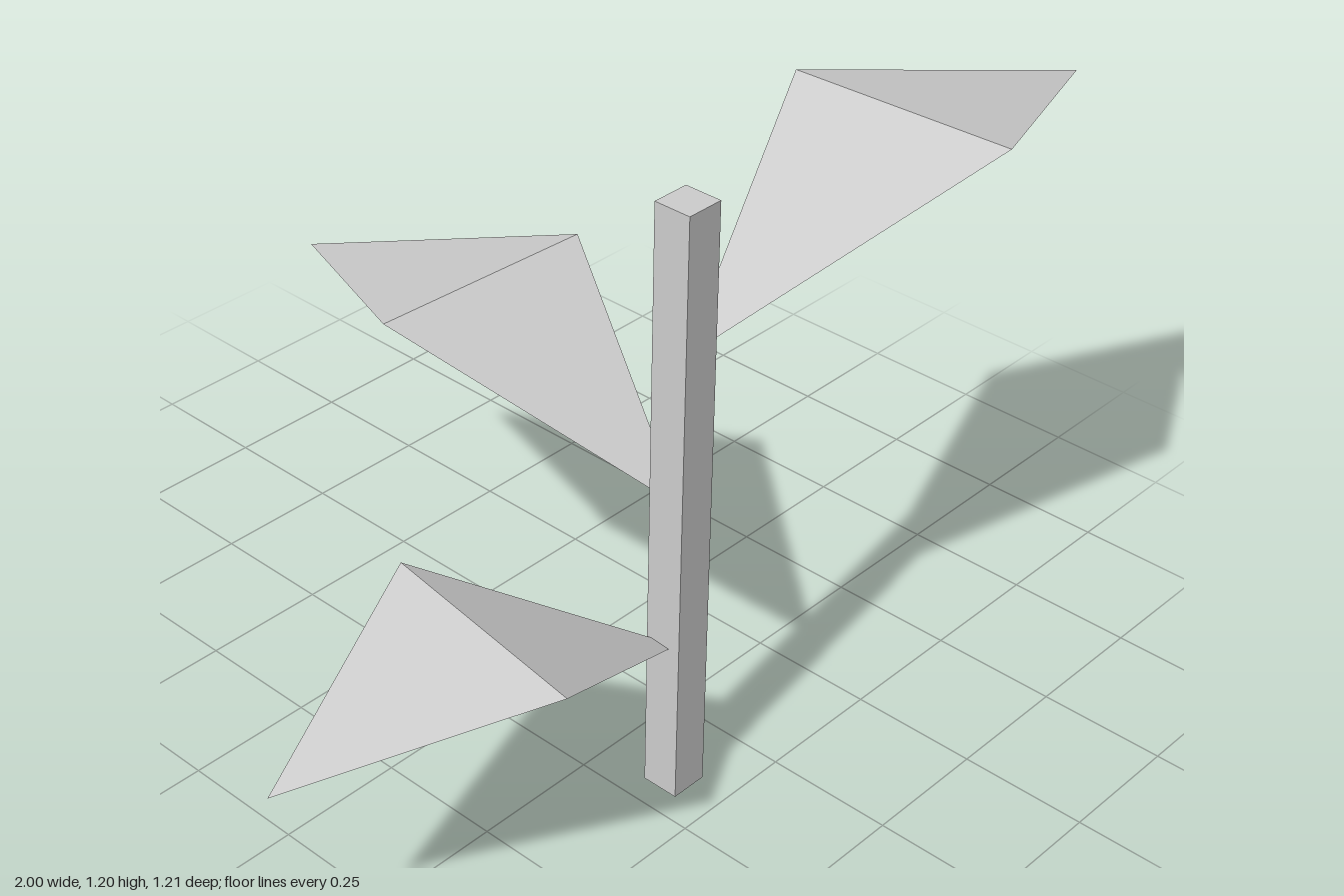
import * as THREE from 'three';

export function createModel() {
  const group = new THREE.Group();
  const plantGrey = new THREE.MeshStandardMaterial({ color: 0xcccccc, flatShading: true, side: THREE.DoubleSide });
  plantGrey.name = 'plantGrey';

  const stemX = -0.162, stemZ = 0.393;

  // Square stem
  const stem = new THREE.Mesh(new THREE.BoxGeometry(0.075, 1.2, 0.075), plantGrey);
  stem.name = 'stem';
  stem.position.set(stemX, 0.6, stemZ);
  group.add(stem);

  // Folded kite leaf: rises from the stem to a wide crease, then droops to its tip
  function addLeaf(name, y, length, degrees) {
    const half = 0.23, rise = 0.24, tipRise = 0.102;
    const geometry = new THREE.BufferGeometry();
    geometry.setAttribute('position', new THREE.Float32BufferAttribute([
      0, 0, 0, length, rise, half, length, rise, -half,
      length, rise, -half, length, rise, half, 2 * length, tipRise, 0,
    ], 3));
    geometry.computeVertexNormals();
    const leaf = new THREE.Mesh(geometry, plantGrey);
    leaf.name = name;
    leaf.position.set(stemX, y, stemZ);
    leaf.rotation.y = THREE.MathUtils.degToRad(degrees);
    group.add(leaf);
  }

  addLeaf('upperLeaf', 0.905, 0.58, 2);
  addLeaf('middleLeaf', 0.605, 0.5, 87);
  addLeaf('lowerLeaf', 0.306, 0.423, 171.7);

  return group;
}
